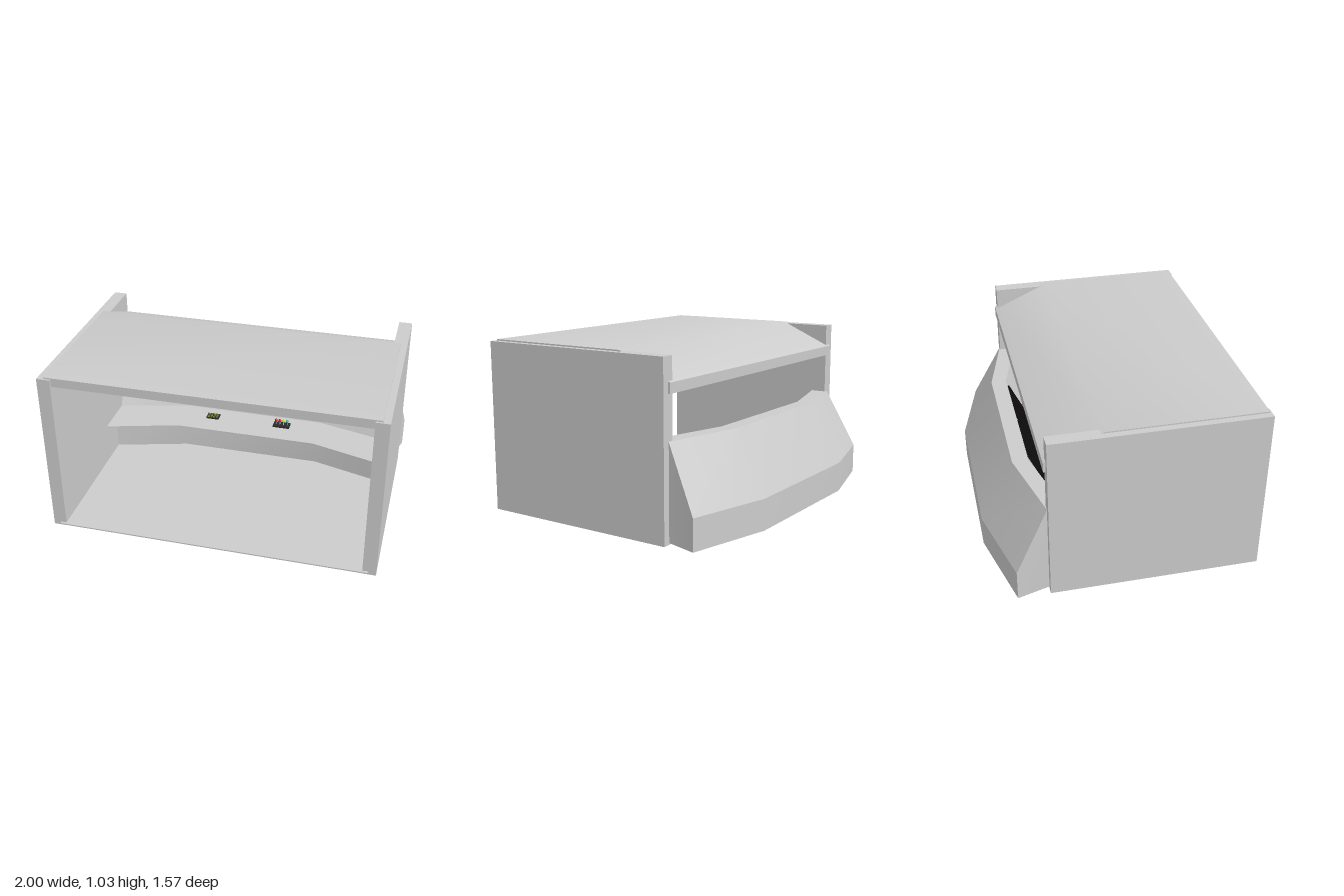
import * as THREE from 'three';
import { toCreasedNormals } from 'three/addons/utils/BufferGeometryUtils.js';

const paint = (color) => new THREE.MeshStandardMaterial({ color, side: THREE.DoubleSide });
const grey = paint(0xcccccc);

function add(parent, name, geometry, material, x = 0, y = 0, z = 0) {
  const mesh = new THREE.Mesh(geometry, material);
  mesh.name = name;
  mesh.position.set(x, y, z);
  parent.add(mesh);
  return mesh;
}

const box = (w, h, d) => new THREE.BoxGeometry(w, h, d);

// Console cross-section, each point: x at the ends, x at the bends, y, z at the ends, z in the middle
const PROFILE = [
  [1, 0.485, 0.01, -0.655, -0.787],     // outer foot
  [1, 0.485, 0.195, -0.655, -0.787],    // outer knee
  [0.945, 0.465, 0.565, -0.465, -0.585], // top, outside
  [0.93, 0.46, 0.565, -0.365, -0.49],   // top, inside
  [0.93, 0.455, 0.275, -0.23, -0.35],   // instrument panel base
  [0.93, 0.455, 0.275, 0.05, -0.085],   // desk edge
  [0.93, 0.455, 0.265, 0.05, -0.085],
  [0.93, 0.45, 0.265, -0.12, -0.255],   // desk underside
  [0.93, 0.45, 0.01, -0.12, -0.255],    // inner foot
  [0.945, 0.47, 0.01, -0.465, -0.58],
];

// Hollow-backed nose: four stations across the width, skinned and capped
function consoleGeometry() {
  const stations = [[-1, 0], [-1, 1], [1, 1], [1, 0]];
  const n = PROFILE.length;
  const positions = [];
  for (const [side, mid] of stations) {
    for (const [xe, xm, y, ze, zm] of PROFILE) positions.push(side * (mid ? xm : xe), y, mid ? zm : ze);
  }
  const index = [];
  for (let j = 0; j < 3; j++) {
    for (let i = 0; i < n; i++) {
      const k = (i + 1) % n;
      const a = j * n + i, b = j * n + k, c = b + n, d = a + n;
      index.push(a, b, d, b, c, d);
    }
  }
  const outline = PROFILE.map((p) => new THREE.Vector2(p[3], p[2]));
  for (const [a, b, c] of THREE.ShapeUtils.triangulateShape(outline, [])) {
    index.push(a, b, c, c + 3 * n, b + 3 * n, a + 3 * n);
  }
  const geometry = new THREE.BufferGeometry();
  geometry.setAttribute('position', new THREE.Float32BufferAttribute(positions, 3));
  geometry.setIndex(index);
  return toCreasedNormals(geometry, 0.35);
}

// Roof: side profile (z, y) extruded across the width, its rear part sloping down
function roofGeometry() {
  const points = [[0.76, 0.972], [0.76, 1.026], [-0.15, 1.026], [-0.48, 0.88], [-0.48, 0.82], [-0.465, 0.82], [-0.15, 0.972]];
  const shape = new THREE.Shape(points.map(([z, y]) => new THREE.Vector2(-z, y)));
  const geometry = new THREE.ExtrudeGeometry(shape, { depth: 1.9, bevelEnabled: false });
  geometry.translate(0, 0, -0.95);
  geometry.rotateY(Math.PI / 2);
  return toCreasedNormals(geometry, 0.5);
}

// Floor: thin sheet whose rear edge follows the console foot
function floorGeometry() {
  const points = [[-0.945, 0.787], [0.945, 0.787], [0.945, -0.12], [0.45, -0.255], [-0.45, -0.255], [-0.945, -0.12]];
  const shape = new THREE.Shape(points.map(([x, z]) => new THREE.Vector2(x, z)));
  const geometry = new THREE.ExtrudeGeometry(shape, { depth: 0.008, bevelEnabled: false });
  geometry.rotateX(Math.PI / 2);
  return geometry;
}

export function createModel() {
  const model = new THREE.Group();
  model.name = 'controlCabin';

  for (const side of [-1, 1]) {
    add(model, side > 0 ? 'leftWall' : 'rightWall', box(0.08, 1.018, 1.238), grey, side * 0.95, 0.509, 0.153);
  }
  add(model, 'roof', roofGeometry(), grey);
  add(model, 'floor', floorGeometry(), grey, 0, 0.022, 0);
  add(model, 'console', consoleGeometry(), grey);

  // Screens and a side handle on the tilted instrument panel
  const panel = new THREE.Group();
  panel.name = 'instrumentPanel';
  panel.position.set(0, 0.42, -0.42);
  panel.rotation.x = -Math.atan2(0.14, 0.29);
  model.add(panel);
  const black = paint(0x0d0d0d);
  const red = paint(0xb01820);
  for (const x of [-0.2175, 0.2125]) add(panel, 'screen', box(0.405, 0.3, 0.012), black, x, 0, 0.004);
  for (const y of [-0.075, 0]) add(panel, 'handleBracket', box(0.025, 0.008, 0.02), grey, 0.437, y, 0.008);
  add(panel, 'handleBar', box(0.006, 0.08, 0.006), grey, 0.437, -0.038, 0.018);
  add(panel, 'handleKnob', new THREE.SphereGeometry(0.012, 12, 8), red, 0.437, -0.048, 0.02);

  // Keypad on the desk
  const keypad = new THREE.Group();
  keypad.name = 'keypad';
  keypad.position.set(-0.255, 0.275, -0.25);
  model.add(keypad);
  add(keypad, 'keypadBase', box(0.085, 0.008, 0.06), paint(0x2a2a2a), 0, 0.004, 0);
  const keyColors = [paint(0xa09020), paint(0x4c7030)];
  for (let row = 0; row < 3; row++) {
    for (let col = 0; col < 4; col++) {
      add(keypad, 'key', box(0.012, 0.005, 0.011), keyColors[(row + col) % 2], (col - 1.5) * 0.019, 0.009, (row - 1) * 0.018);
    }
  }

  // Lever box on the desk, with coloured knobs
  const levers = new THREE.Group();
  levers.name = 'levers';
  levers.position.set(0.217, 0.275, -0.25);
  model.add(levers);
  add(levers, 'leverBase', box(0.11, 0.01, 0.06), paint(0x2a2a2a), 0, 0.005, 0);
  [0xd01818, 0xd01818, 0xe0d020, 0x20b8c8].forEach((color, i) => {
    const x = (i - 1.5) * 0.025;
    add(levers, 'leverRod', new THREE.CylinderGeometry(0.003, 0.003, 0.03, 8), grey, x, 0.022, 0);
    add(levers, 'leverKnob', new THREE.SphereGeometry(0.01, 12, 8), paint(color), x, 0.038, 0);
  });

  return model;
}
